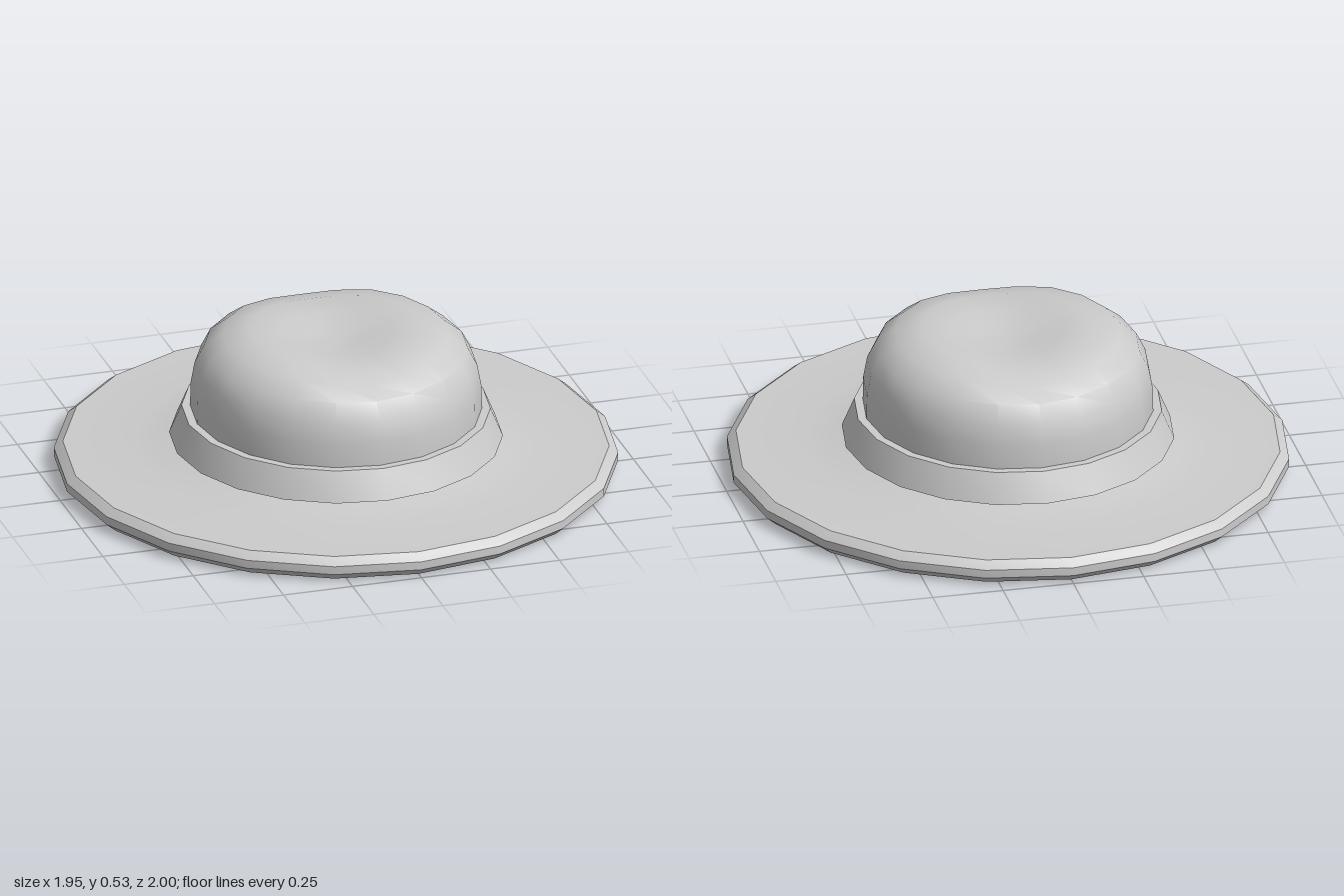
import * as THREE from 'three';
import { toCreasedNormals } from 'three/addons/utils/BufferGeometryUtils.js';

const SIDES = 20;

// Revolve a [radius, y] profile into a slightly oval ring (narrower in x)
function ovalLathe(profile, xScale) {
  const points = profile.map(([r, y]) => new THREE.Vector2(r, y));
  const geometry = new THREE.LatheGeometry(points, SIDES);
  geometry.scale(xScale, 1, 1);
  return geometry;
}

// Press a shallow front-to-back valley into the top of the crown
function pinch(geometry) {
  const p = geometry.attributes.position;
  for (let i = 0; i < p.count; i++) {
    const x = Math.abs(p.getX(i)), y = p.getY(i), z = p.getZ(i);
    const across = 1 - THREE.MathUtils.smoothstep(x, 0, 0.3);
    const onTop = THREE.MathUtils.smoothstep(y, 0.42, 0.52);
    const depth = 0.048 - 0.022 * Math.min(1, Math.abs(z) / 0.3);
    p.setY(i, y - depth * across * onTop);
  }
  return geometry;
}

export function createModel() {
  const hat = new THREE.Group();
  hat.name = 'hat';

  const smooth = new THREE.MeshStandardMaterial({ color: 0xcccccc });
  const faceted = new THREE.MeshStandardMaterial({ color: 0xcccccc, flatShading: true });

  function add(name, geometry, material = smooth) {
    const shaped = material === smooth ? toCreasedNormals(geometry, 0.56) : geometry;
    const mesh = new THREE.Mesh(shaped, material);
    mesh.name = name;
    hat.add(mesh);
  }

  // Wide brim with bevelled edge, rising softly towards the crown
  add('brim', ovalLathe([
    [0.52, 0.05], [0.59, 0.03], [0.72, 0.01], [0.965, 0],
    [1, 0.03], [1, 0.06], [0.968, 0.085],
    [0.72, 0.088], [0.62, 0.1], [0.52, 0.118],
  ], 0.975));

  // Flared band around the base of the crown
  add('band', ovalLathe([
    [0.51, 0.11], [0.6, 0.122], [0.555, 0.225], [0.515, 0.225],
  ], 0.96));

  // Rounded crown with a pinched top
  add('crown', pinch(ovalLathe([
    [0.525, 0.1], [0.526, 0.22], [0.524, 0.31], [0.51, 0.385], [0.476, 0.45],
    [0.41, 0.5], [0.31, 0.528], [0.2, 0.53], [0.1, 0.53], [0, 0.53],
  ], 0.957)));

  // Hollow inside, faceted and facing inwards
  add('lining', ovalLathe([
    [0, 0.45], [0.26, 0.45], [0.41, 0.41], [0.48, 0.29], [0.505, 0.17], [0.52, 0.05],
  ], 0.965), faceted);

  return hat;
}
